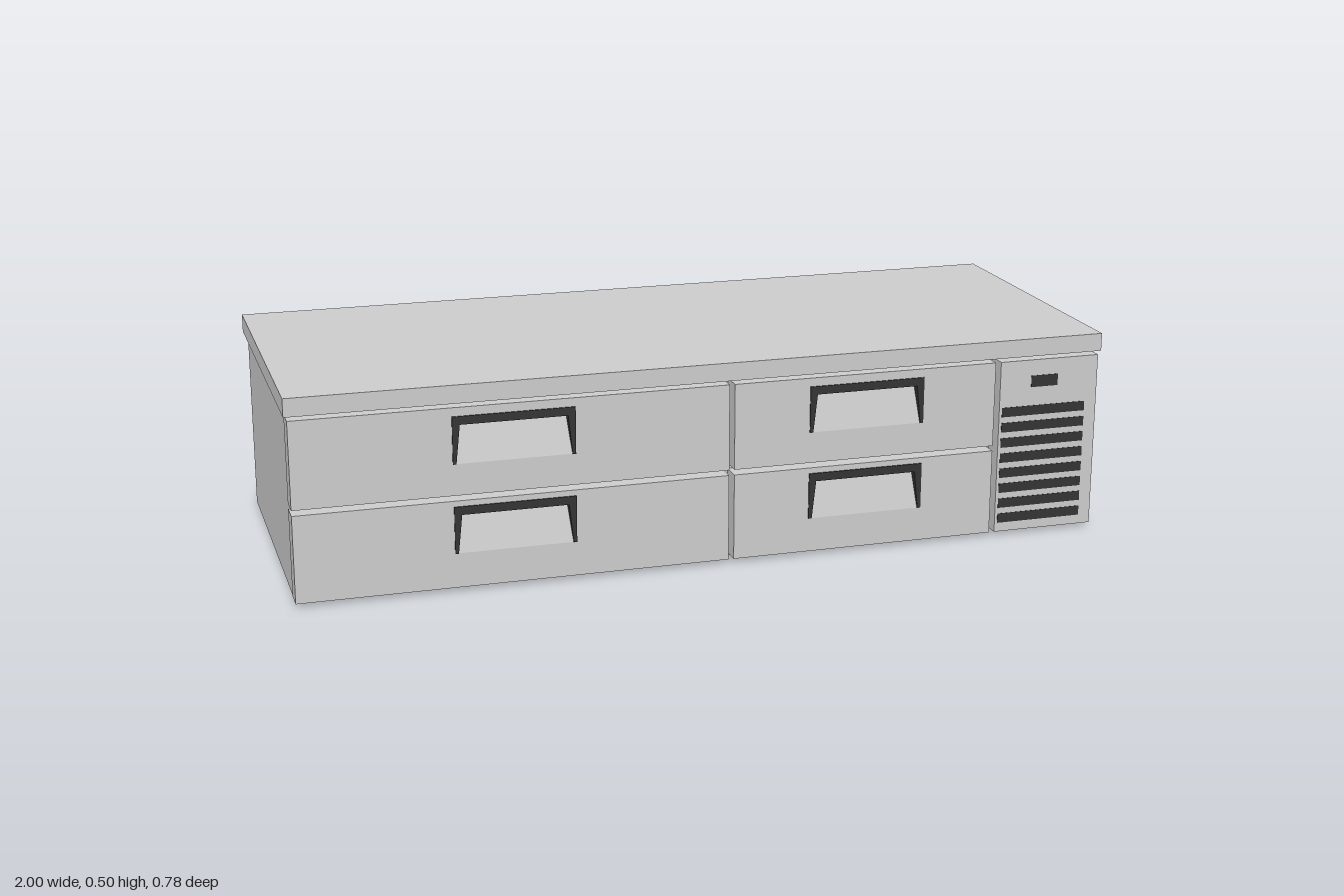
import * as THREE from 'three';

const steel = new THREE.MeshStandardMaterial({ color: 0xcccccc });
const dark = new THREE.MeshStandardMaterial({ color: 0x333333 });
const BACK = 0.333, FACE = 0.387; // rear and front of the drawer fronts

// Box given by its minimum and maximum corners
function box(name, [x0, y0, z0], [x1, y1, z1], material = steel) {
  const mesh = new THREE.Mesh(new THREE.BoxGeometry(x1 - x0, y1 - y0, z1 - z0), material);
  mesh.position.set((x0 + x1) / 2, (y0 + y1) / 2, (z0 + z1) / 2);
  mesh.name = name;
  return mesh;
}

function polygon(points, Type = THREE.Shape) {
  return new Type(points.map(([x, y]) => new THREE.Vector2(x, y)));
}

function rect(x0, y0, x1, y1, Type) {
  return polygon([[x0, y0], [x1, y0], [x1, y1], [x0, y1]], Type);
}

function extrude(name, shape, z0, z1, material) {
  const geometry = new THREE.ExtrudeGeometry(shape, { depth: z1 - z0, bevelEnabled: false });
  const mesh = new THREE.Mesh(geometry, material);
  mesh.position.z = z0;
  mesh.name = name;
  return mesh;
}

// Drawer front with a wedge-shaped recessed pull and its dark surround
function drawer(x0, x1, y0, y1, pullX, pullTop) {
  const group = new THREE.Group();
  group.name = 'drawer';
  const hw = 0.145, h = 0.114, pocketDepth = 0.025;
  const left = pullX - hw, right = pullX + hw, bottom = pullTop - h;

  const front = rect(x0, y0, x1, y1);
  front.holes.push(rect(left, bottom, right, pullTop, THREE.Path));
  group.add(extrude('drawerFront', front, BACK, FACE, steel));

  const surround = polygon([
    [left, bottom], [left + 0.008, bottom], [left + 0.018, pullTop - 0.02],
    [right - 0.018, pullTop - 0.02], [right - 0.008, bottom], [right, bottom],
    [right, pullTop], [left, pullTop],
  ]);
  group.add(extrude('pullSurround', surround, FACE - pocketDepth, 0.39, dark));

  // Sloping back of the pocket, deepest at the top
  const slope = new THREE.Mesh(new THREE.PlaneGeometry(2 * hw, Math.hypot(h, pocketDepth)), steel);
  slope.rotation.x = -Math.atan2(pocketDepth, h);
  slope.position.set(pullX, pullTop - h / 2, FACE - pocketDepth / 2);
  slope.name = 'pullPocket';
  group.add(slope);
  return group;
}

export function createModel() {
  const model = new THREE.Group();
  model.name = 'refrigeratedChefBase';

  // Cabinet and worktop
  model.add(box('cabinet', [-0.988, 0, -0.389], [0.988, 0.456, BACK]));
  model.add(box('worktop', [-1, 0.456, -0.39], [1, 0.5, 0.39]));

  // Two columns of two drawers
  for (const [x0, x1, pullX] of [[-0.992, 0.044, -0.475], [0.057, 0.722, 0.39]]) {
    model.add(drawer(x0, x1, 0.01, 0.222, pullX, 0.208));
    model.add(drawer(x0, x1, 0.235, 0.446, pullX, 0.425));
  }

  // Compressor panel with a display and louvres
  const panel = new THREE.Group();
  panel.name = 'compressorPanel';
  panel.add(box('panelFront', [0.736, 0.01, BACK], [0.994, 0.446, FACE]));
  panel.add(box('display', [0.818, 0.377, FACE - 0.01], [0.888, 0.406, FACE + 0.001], dark));
  for (let i = 0; i < 8; i++) {
    const y = 0.045 + i * 0.039;
    panel.add(box('louvre', [0.743, y - 0.012, FACE - 0.01], [0.963, y + 0.012, FACE + 0.001], dark));
  }
  model.add(panel);
  return model;
}
